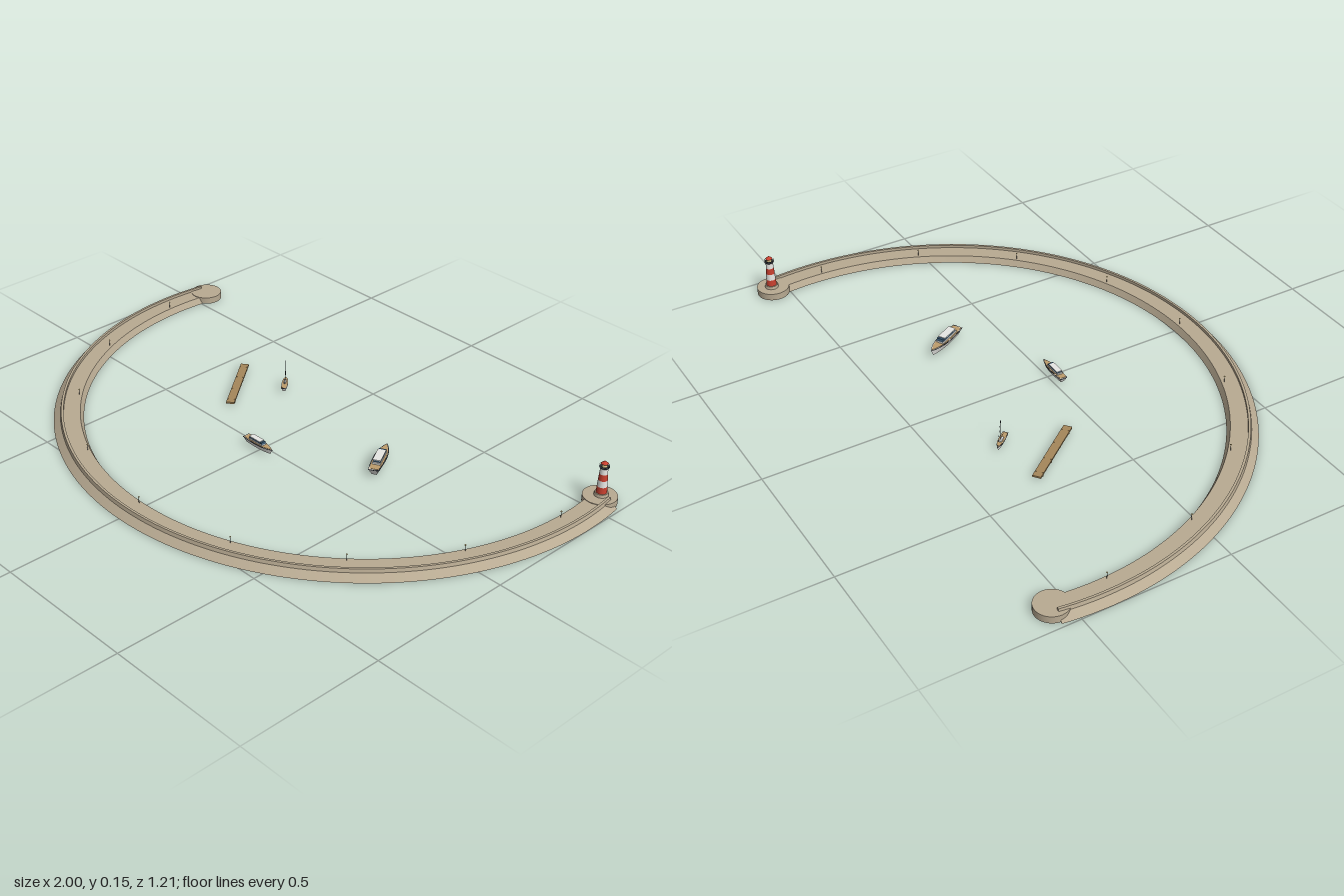
import * as THREE from 'three';
import { toCreasedNormals } from 'three/addons/utils/BufferGeometryUtils.js';

const mat = (name, color, side = THREE.FrontSide) => {
  const m = new THREE.MeshStandardMaterial({ color, side });
  m.name = name;
  return m;
};

export function createModel() {
  const stone = mat('stone', 0xb8aa92, THREE.DoubleSide);
  const white = mat('white', 0xeeeeea);
  const red = mat('red', 0xc8402f);
  const dark = mat('dark metal', 0x343a40);
  const wood = mat('wood', 0xa5875a);
  const teak = mat('teak deck', 0xbd9c6c);
  const glass = mat('window glass', 0x35526b);
  const lampGlow = mat('lamp', 0xf2dd9a);

  const model = new THREE.Group();
  model.name = 'harbour';

  const add = (parent, name, geo, material, x = 0, y = 0, z = 0) => {
    const m = new THREE.Mesh(geo, material);
    m.name = name;
    m.position.set(x, y, z);
    parent.add(m);
    return m;
  };
  const group = (name, x = 0, y = 0, z = 0, parent = model) => {
    const g = new THREE.Group();
    g.name = name;
    g.position.set(x, y, z);
    parent.add(g);
    return g;
  };
  const box = (w, h, d) => new THREE.BoxGeometry(w, h, d);
  const cyl = (rTop, rBot, h, n = 24) => new THREE.CylinderGeometry(rTop, rBot, h, n);

  // Curved breakwater: sloped outer face, parapet, walkway and inner quay wall
  const harbour = group('breakwater', 0, 0, -0.4);
  const profile = [[1, 0], [0.977, 0.02], [0.974, 0.032], [0.966, 0.032],
    [0.966, 0.022], [0.911, 0.022], [0.9, 0], [1, 0]].map(p => new THREE.Vector2(...p));
  const arc = THREE.MathUtils.degToRad(99);
  add(harbour, 'breakwaterWall',
    toCreasedNormals(new THREE.LatheGeometry(profile, 128, -arc, 2 * arc), 0.3), stone);
  for (const s of [-1, 1]) {
    const end = add(harbour, 'breakwaterEnd', new THREE.ShapeGeometry(new THREE.Shape(profile)), stone);
    end.rotation.y = s * arc - Math.PI / 2;
    add(model, 'pierHead', cyl(0.055, 0.055, 0.024, 40), stone, s * 0.925, 0.012, -0.55);
  }

  // Lamp posts along the inner edge of the walkway
  for (let i = -4; i <= 4; i++) {
    const a = THREE.MathUtils.degToRad(i * 22);
    const lamp = group('lampPost', 0.92 * Math.sin(a), 0.022, 0.92 * Math.cos(a), harbour);
    add(lamp, 'lampPole', cyl(0.0007, 0.0009, 0.021, 6), dark, 0, 0.0105, 0);
    add(lamp, 'lampHead', box(0.004, 0.0025, 0.004), lampGlow, 0, 0.022, 0);
  }

  // Lighthouse with banded tower, gallery, lantern and domed cap
  const tower = group('lighthouse', 0.925, 0.024, -0.555);
  add(tower, 'plinth', cyl(0.021, 0.023, 0.01), stone, 0, 0.005, 0);
  const radius = t => 0.0175 - 0.0055 * t;
  for (let i = 0; i < 4; i++) {
    const h = 0.0225;
    add(tower, i % 2 ? 'whiteBand' : 'redBand',
      cyl(radius((i + 1) / 4), radius(i / 4), h), i % 2 ? white : red, 0, 0.01 + h * (i + 0.5), 0);
  }
  add(tower, 'gallery', cyl(0.0165, 0.0145, 0.003), dark, 0, 0.1, 0);
  const rail = add(tower, 'galleryRail', new THREE.TorusGeometry(0.0155, 0.0005, 5, 24), dark, 0, 0.107, 0);
  rail.rotation.x = Math.PI / 2;
  for (let i = 0; i < 8; i++) {
    const a = i * Math.PI / 4;
    add(tower, 'railPost', cyl(0.0004, 0.0004, 0.007, 5), dark,
      0.0155 * Math.cos(a), 0.1045, 0.0155 * Math.sin(a));
  }
  add(tower, 'lantern', cyl(0.0085, 0.0085, 0.012, 12), lampGlow, 0, 0.107, 0);
  add(tower, 'lanternRoof', new THREE.ConeGeometry(0.012, 0.01, 24), red, 0, 0.118, 0);

  // Floating wooden jetty with cross boards and short piles
  const jetty = group('jetty', -0.35, 0, -0.195);
  jetty.rotation.y = Math.atan2(-0.21, 0.16);
  add(jetty, 'jettyDeck', box(0.264, 0.006, 0.028), wood, 0, 0.011, 0);
  for (const x of [-0.11, -0.04, 0.04, 0.11]) {
    for (const z of [-0.011, 0.011]) {
      add(jetty, 'jettyPile', cyl(0.002, 0.002, 0.014, 8), wood, x, 0.008, z);
    }
  }

  // Plan outline of a boat, bow towards +x
  const outline = (L, W) => {
    const s = new THREE.Shape();
    s.moveTo(-L / 2, -W * 0.4);
    s.quadraticCurveTo(-L * 0.1, -W * 0.58, L * 0.15, -W * 0.46);
    s.quadraticCurveTo(L * 0.36, -W * 0.34, L / 2, 0);
    s.quadraticCurveTo(L * 0.36, W * 0.34, L * 0.15, W * 0.46);
    s.quadraticCurveTo(-L * 0.1, W * 0.58, -L / 2, W * 0.4);
    s.closePath();
    return s;
  };
  // Extruded outline, narrowed towards the keel
  const hullGeo = (L, W, h, taperX, taperZ) => {
    const g = new THREE.ExtrudeGeometry(outline(L, W), { depth: h, bevelEnabled: false, curveSegments: 8 });
    g.rotateX(-Math.PI / 2);
    const p = g.attributes.position;
    for (let i = 0; i < p.count; i++) {
      if (p.getY(i) < h / 2) {
        p.setX(i, p.getX(i) * taperX);
        p.setZ(i, p.getZ(i) * taperZ);
      }
    }
    return toCreasedNormals(g, 0.5);
  };
  const boat = (name, x, z, dx, dz, L, W, h) => {
    const b = group(name, x, 0.008, z);
    b.rotation.y = Math.atan2(-dz, dx);
    add(b, 'hull', hullGeo(L, W, h, 0.86, 0.5), white);
    add(b, 'gunwale', hullGeo(L * 1.01, W * 1.03, 0.002, 1, 1), dark, 0, h - 0.002, 0);
    add(b, 'deck', hullGeo(L * 0.94, W * 0.88, 0.001, 1, 1), teak, 0, h, 0);
    return b;
  };

  // Two motor boats with glazed cabins
  const motorBoat = (x, z, dx, dz, L, W, h) => {
    const b = boat('motorBoat', x, z, dx, dz, L, W, h);
    const c = h * 0.3;
    add(b, 'cabinBase', box(L * 0.5, c, W * 0.64), white, -L * 0.06, h + c / 2, 0);
    add(b, 'cabinWindows', box(L * 0.44, c, W * 0.58), glass, -L * 0.06, h + c * 1.5, 0);
    add(b, 'cabinRoof', box(L * 0.4, c * 0.35, W * 0.64), white, -L * 0.09, h + c * 2.15, 0);
    const shield = add(b, 'windscreen', box(0.002, c * 1.3, W * 0.58), glass, L * 0.17, h + c * 1.4, 0);
    shield.rotation.z = 0.5;
  };
  motorBoat(0.325, -0.2, -0.08, -0.145, 0.165, 0.042, 0.023);
  motorBoat(-0.003, 0.022, 1, 0, 0.125, 0.03, 0.018);

  // Small sailing boat with bare mast, boom and forestay
  const sail = boat('sailBoat', -0.232, -0.306, -0.055, -0.062, 0.08, 0.021, 0.014);
  add(sail, 'cabin', box(0.022, 0.005, 0.009), white, 0.002, 0.017, 0);
  add(sail, 'mast', cyl(0.0006, 0.0009, 0.084, 6), dark, 0.005, 0.056, 0);
  const boom = add(sail, 'boom', cyl(0.0006, 0.0006, 0.034, 6), dark, -0.012, 0.026, 0);
  boom.rotation.z = Math.PI / 2;
  const stay = new THREE.LineCurve3(new THREE.Vector3(0.037, 0.015, 0), new THREE.Vector3(0.005, 0.097, 0));
  add(sail, 'forestay', new THREE.TubeGeometry(stay, 1, 0.0003, 5), dark);

  return model;
}
